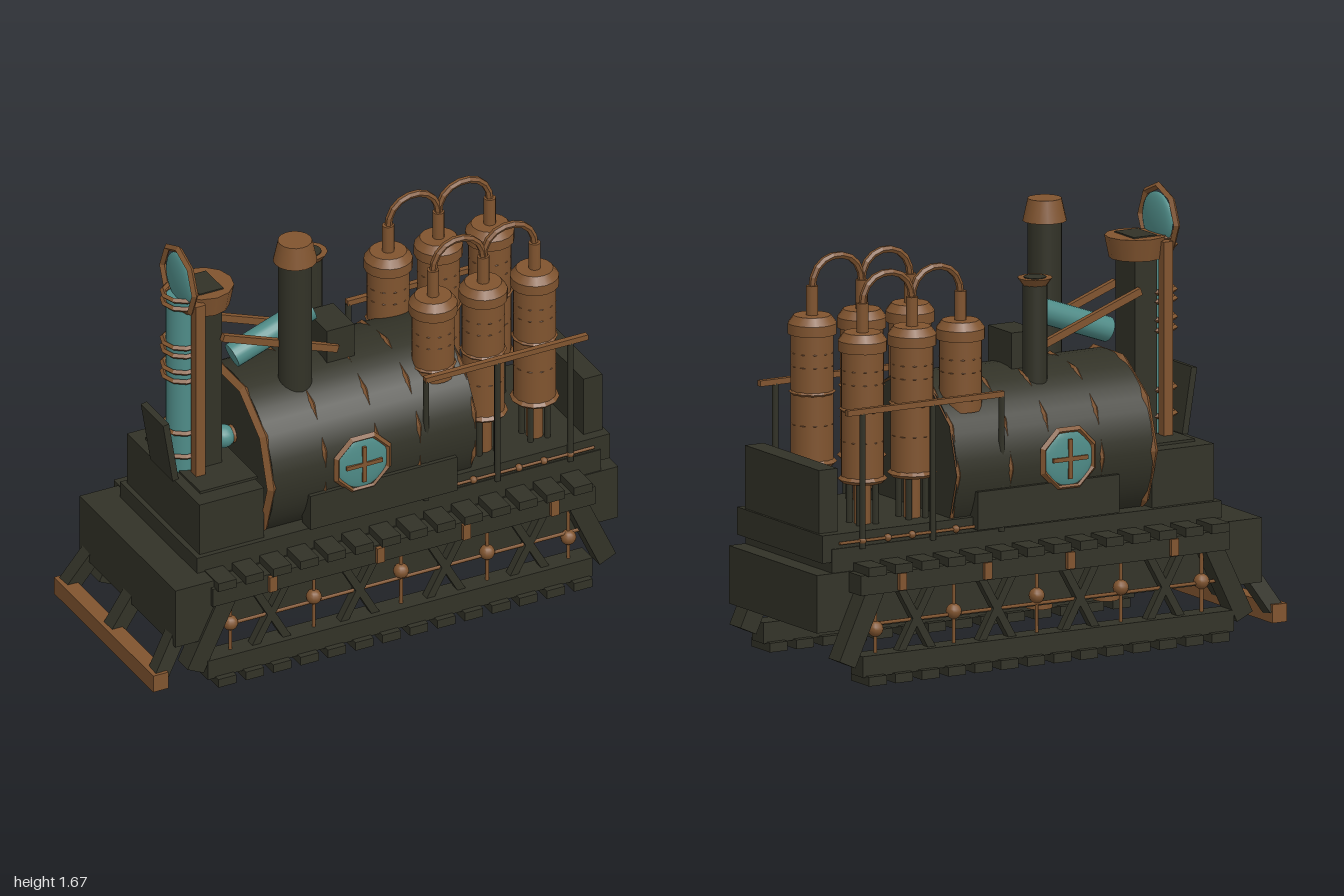
import * as THREE from 'three';

export function createModel() {
  const root = new THREE.Group();
  root.name = 'steamCrawler';
  const mat = (name, color) => {
    const m = new THREE.MeshStandardMaterial({ color });
    m.name = name;
    return m;
  };
  const iron = mat('dark iron', 0x323227);
  const copper = mat('copper', 0x80542f);
  const glass = mat('teal glass', 0x4f8c88);

  const add = (name, geo, m, x = 0, y = 0, z = 0, parent = root) => {
    const mesh = new THREE.Mesh(geo, m);
    mesh.name = name;
    mesh.position.set(x, y, z);
    parent.add(mesh);
    return mesh;
  };
  // Faceted copy of a geometry
  const facet = (g) => {
    const f = g.toNonIndexed();
    f.computeVertexNormals();
    return f;
  };
  // Box given by its limits on each axis
  const box = (name, m, x0, x1, y0, y1, z0, z1, p = root) =>
    add(name, new THREE.BoxGeometry(x1 - x0, y1 - y0, z1 - z0), m,
      (x0 + x1) / 2, (y0 + y1) / 2, (z0 + z1) / 2, p);
  // Upright cylinder from y0 to y1
  const cyl = (name, m, x, z, y0, y1, r0, r1 = r0, n = 24, p = root) =>
    add(name, new THREE.CylinderGeometry(r1, r0, y1 - y0, n), m, x, (y0 + y1) / 2, z, p);
  const UP = new THREE.Vector3(0, 1, 0);
  const align = (mesh, a, b) => {
    mesh.position.copy(a).add(b).multiplyScalar(0.5);
    mesh.quaternion.setFromUnitVectors(UP, b.clone().sub(a).normalize());
    return mesh;
  };
  // Round rod or square beam between two points
  const rod = (name, m, a, b, r, n = 8, p = root) => {
    const A = new THREE.Vector3(...a), B = new THREE.Vector3(...b);
    return align(add(name, new THREE.CylinderGeometry(r, r, A.distanceTo(B), n), m, 0, 0, 0, p), A, B);
  };
  const beam = (name, m, a, b, w, d, p = root) => {
    const A = new THREE.Vector3(...a), B = new THREE.Vector3(...b);
    return align(add(name, new THREE.BoxGeometry(w, A.distanceTo(B), d), m, 0, 0, 0, p), A, B);
  };
  // Coarse hoop, axis 'x' or 'y'
  const hoop = (name, x, y, z, r, t, n, axis, p = root) => {
    const h = add(name, facet(new THREE.TorusGeometry(r, t, 4, n)), copper, x, y, z, p);
    if (axis === 'x') h.rotation.y = Math.PI / 2;
    if (axis === 'y') h.rotation.x = Math.PI / 2;
    return h;
  };

  // Hull and decks
  box('hull', iron, -0.88, 0.99, 0.2, 0.42, -0.315, 0.315);
  box('noseBlock', iron, -0.9, -0.72, 0.2, 0.445, -0.385, 0.385);
  box('lowerDeck', iron, -0.77, 0.92, 0.42, 0.51, -0.31, 0.31);
  box('upperDeck', iron, 0.05, 0.96, 0.46, 0.565, -0.305, 0.305);
  box('endWall', iron, 0.87, 0.95, 0.565, 0.805, -0.265, 0.265);
  box('noseHousing', iron, -0.75, -0.48, 0.5, 0.725, -0.29, 0.29);
  box('noseHousingLid', iron, -0.71, -0.47, 0.725, 0.735, -0.22, 0.22);
  beam('noseShield', iron, [-0.745, 0.725, 0], [-0.785, 0.975, 0], 0.025, 0.18);
  for (const x of [-0.31, -0.02])
    cyl('drainValve', copper, x, -0.24, 0.175, 0.2, 0.05, 0.05, 12);

  // Boiler lying along x, with hoops that show at their corners
  const boiler = add('boiler', new THREE.CylinderGeometry(0.33, 0.33, 0.85, 40), iron, -0.035, 0.735, 0);
  boiler.rotation.z = Math.PI / 2;
  hoop('boilerEndRim', -0.465, 0.735, 0, 0.325, 0.02, 10, 'x');
  for (const x of [-0.24, -0.02, 0.155, 0.385])
    hoop('boilerHoop', x, 0.735, 0, 0.333, 0.009, 11, 'x');
  rod('feedPipe', copper, [-0.62, 0.8, 0], [-0.46, 0.8, 0], 0.035, 12);
  add('feedGlass', new THREE.SphereGeometry(0.045, 16, 10), glass, -0.5, 0.8, 0);

  // Portholes and side boxes
  for (const s of [1, -1]) {
    const port = new THREE.Group();
    port.name = 'porthole';
    port.position.set(-0.09, 0.75, s * 0.332);
    if (s < 0) port.rotation.y = Math.PI;
    root.add(port);
    add('portholeRim', facet(new THREE.TorusGeometry(0.115, 0.014, 4, 8)), copper, 0, 0, 0, port)
      .rotation.z = Math.PI / 8;
    add('portholeGlass', new THREE.SphereGeometry(0.108, 20, 12), glass, 0, 0, 0, port).scale.z = 0.15;
    box('portholeBarAcross', copper, -0.075, 0.075, -0.008, 0.008, 0, 0.022, port);
    box('portholeBarUpright', copper, -0.008, 0.008, -0.075, 0.075, 0, 0.022, port);
    box('sideBox', iron, -0.31, 0.305, 0.52, 0.665, s > 0 ? 0.27 : -0.338, s > 0 ? 0.338 : -0.27);
  }

  // Chimneys and valve box on the boiler
  cyl('mainChimney', iron, -0.255, 0.108, 1.0, 1.56, 0.064);
  cyl('mainChimneyCap', copper, -0.255, 0.108, 1.555, 1.64, 0.083, 0.064, 16);
  cyl('smallChimney', iron, -0.063, -0.14, 1.0, 1.39, 0.046);
  cyl('smallChimneyLip', copper, -0.063, -0.14, 1.375, 1.405, 0.045, 0.066, 12);
  cyl('smallChimneyMouth', iron, -0.063, -0.14, 1.4, 1.408, 0.042);
  box('valveBox', iron, -0.11, 0.005, 1.03, 1.19, -0.085, 0.085);

  // Tilted glass cylinder and its braces
  rod('tiltedGlass', glass, [-0.462, 1.138, 0], [-0.137, 1.255, 0], 0.048, 20);
  for (const z of [-0.09, 0.09])
    beam('brace', copper, [-0.55, 1.29, z], [-0.07, 1.11, z], 0.028, 0.022);

  // Tower: duct, cup, posts, gauge tube and round lens
  box('towerDuct', iron, -0.635, -0.54, 0.72, 1.42, -0.07, 0.07);
  cyl('towerCup', copper, -0.585, 0, 1.4, 1.485, 0.1, 0.117, 12);
  box('towerCupMouth', iron, -0.635, -0.535, 1.48, 1.49, -0.07, 0.07);
  for (const z of [-0.1, 0.1])
    box('towerPost', copper, -0.675, -0.635, 0.72, 1.47, z - 0.02, z + 0.02);
  cyl('gaugeTube', glass, -0.668, 0, 0.72, 1.46, 0.064);
  for (const y of [0.8, 0.9, 1.125, 1.165, 1.235, 1.27, 1.44, 1.475])
    hoop('gaugeRing', -0.668, y, 0, 0.076, 0.011, 10, 'y');
  add('lens', new THREE.SphereGeometry(0.102, 20, 14), glass, -0.68, 1.535, 0).scale.x = 0.25;
  hoop('lensRim', -0.685, 1.53, 0, 0.13, 0.014, 8, 'x');

  // Tanks in two rows, linked by arched pipes
  const tankX = [0.285, 0.495, 0.71];
  for (const z of [-0.18, 0.18]) {
    for (const x of tankX) {
      const tank = new THREE.Group();
      tank.name = 'tank';
      tank.position.set(x, 0, z);
      root.add(tank);
      const low = x < 0.3 ? 0.95 : 0.74;
      cyl('tankBody', copper, 0, 0, low, 1.23, 0.08, 0.08, 24, tank);
      cyl('tankCollar', copper, 0, 0, 1.22, 1.26, 0.092, 0.092, 16, tank);
      cyl('tankShoulder', copper, 0, 0, 1.26, 1.29, 0.092, 0.07, 16, tank);
      cyl('tankNeck', copper, 0, 0, 1.28, 1.4, 0.023, 0.023, 10, tank);
      hoop('tankRing', 0, 1.0, 0, 0.079, 0.009, 12, 'y', tank);
      for (const y of [0.88, 1.1, 1.15])
        hoop('tankSeam', 0, y, 0, 0.078, 0.004, 11, 'y', tank);
      if (x < 0.3) continue;
      hoop('tankFootRing', 0, 0.735, 0, 0.08, 0.013, 12, 'y', tank);
      cyl('tankFoot', copper, 0, 0, 0.56, 0.74, 0.032, 0.032, 12, tank);
      for (let i = 0; i < 4; i++) {
        const a = Math.PI / 4 + i * Math.PI / 2;
        cyl('tankStay', iron, 0.05 * Math.cos(a), 0.05 * Math.sin(a), 0.56, 0.74, 0.012, 0.012, 6, tank);
      }
    }
    for (let i = 0; i < 2; i++) {
      const a = tankX[i], b = tankX[i + 1];
      const path = new THREE.CatmullRomCurve3([[a, 1.39], [a + 0.012, 1.45], [a + 0.065, 1.497],
        [b - 0.065, 1.497], [b - 0.012, 1.45], [b, 1.39]].map(([x, y]) => new THREE.Vector3(x, y, z)));
      add('archPipe', facet(new THREE.TubeGeometry(path, 9, 0.014, 6)), copper);
    }
  }

  // Railings and rivets along the deck
  for (const s of [-1, 1]) {
    const z = 0.313 * s;
    box('handrail', copper, 0.18, 0.86, 1.01, 1.032, z - 0.011, z + 0.011);
    for (const x of [0.187, 0.485, 0.79])
      rod('railPost', iron, [x, 0.5, z], [x, 1.015, z], 0.012, 8);
    rod('deckPipe', copper, [0.2, 0.53, z], [0.89, 0.53, z], 0.006, 6);
    for (const x of [0.085, 0.235, 0.385, 0.575, 0.68, 0.79])
      add('rivet', new THREE.SphereGeometry(0.015, 8, 6), copper, x, 0.53, z);
  }

  // Track frames, mirrored
  for (const s of [-1, 1]) {
    const track = new THREE.Group();
    track.name = 'track';
    root.add(track);
    const zc = 0.355 * s;
    const bar = (name, x0, x1, y0, y1, d) =>
      box(name, iron, x0, x1, y0, y1, zc - d, zc + d, track);
    bar('lowerTrackBar', -0.77, 0.84, 0.03, 0.11, 0.042);
    bar('upperTrackBar', -0.75, 0.85, 0.342, 0.418, 0.045);
    for (let i = 0; i < 14; i++) {
      const x = -0.7 + i * 0.1145;
      bar('lowerShoe', x - 0.038, x + 0.038, 0, 0.035, 0.066);
      bar('upperShoe', x - 0.038, x + 0.038, 0.415, 0.45, 0.066);
    }
    beam('endLink', iron, [-0.67, 0.39, zc], [-0.82, 0.08, zc], 0.075, 0.08, track);
    beam('endLink', iron, [0.77, 0.38, zc], [0.905, 0.085, zc], 0.075, 0.08, track);
    for (const x of [-0.49, -0.12, 0.24, 0.59])
      for (const d of [-1, 1])
        beam('crossBrace', iron, [x - 0.07 * d, 0.1, zc], [x + 0.07 * d, 0.35, zc], 0.03, 0.035, track);
    [-0.655, -0.305, 0.06, 0.42, 0.76].forEach((x, i) => {
      const y = [0.225, 0.24, 0.25, 0.23, 0.2][i];
      add('trackBall', new THREE.SphereGeometry(0.03, 12, 8), copper, x, y, zc, track);
      rod('trackBallRod', copper, [x, 0.1, zc], [x, 0.35, zc], 0.007, 6, track);
    });
    rod('trackRod', copper, [-0.76, 0.22, zc], [0.82, 0.22, zc], 0.007, 6, track);
    for (const x of [-0.505, -0.055, 0.305, 0.675])
      box('trackClip', copper, x - 0.016, x + 0.016, 0.348, 0.412, s * 0.408 - 0.008, s * 0.408 + 0.008, track);
  }

  // Ram bar on three struts
  box('ramBar', copper, -1, -0.937, 0.042, 0.112, -0.4, 0.4);
  for (const s of [-1, 1])
    beam('ramStrut', iron, [-0.96, 0.09, 0.36 * s], [-0.8, 0.34, 0.31 * s], 0.06, 0.06);
  beam('ramStrut', iron, [-0.96, 0.09, 0], [-0.82, 0.3, 0], 0.06, 0.065);

  return root;
}
